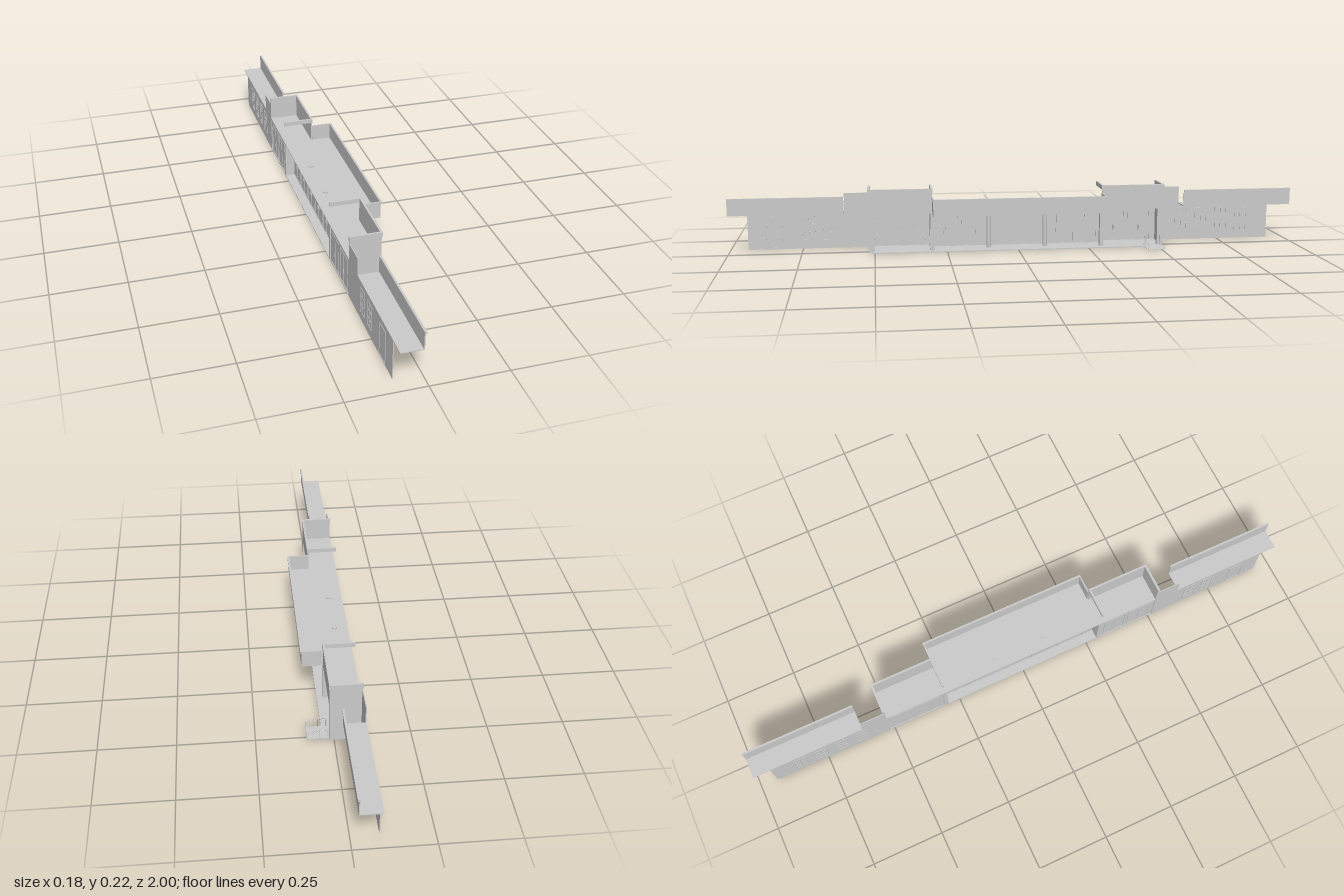
import * as THREE from 'three';

const mat = new THREE.MeshStandardMaterial({ color: 0xcccccc, flatShading: true });

// Box given by its min and max on each axis
function block(parent, name, x0, x1, y0, y1, z0, z1) {
  const mesh = new THREE.Mesh(new THREE.BoxGeometry(x1 - x0, y1 - y0, Math.abs(z1 - z0)), mat);
  mesh.position.set((x0 + x1) / 2, (y0 + y1) / 2, (z0 + z1) / 2);
  mesh.name = name;
  parent.add(mesh);
  return mesh;
}

function rod(parent, name, a, b, r, sides = 6) {
  const curve = new THREE.LineCurve3(new THREE.Vector3(...a), new THREE.Vector3(...b));
  const mesh = new THREE.Mesh(new THREE.TubeGeometry(curve, 1, r, sides), mat);
  mesh.name = name;
  parent.add(mesh);
}

// Upright frame in the plane of a wall, with mullions dividing the opening
function frame(parent, name, x, z, width, y0, y1, cols, rows) {
  const g = new THREE.Group();
  g.name = name;
  const t = 0.003, d = 0.003;
  for (let i = 0; i <= cols; i++) {
    const c = z - width / 2 + (width * i) / cols;
    block(g, 'upright', x - d, x + d, y0, y1, c - t / 2, c + t / 2);
  }
  for (let i = 0; i <= rows; i++) {
    const y = y0 + ((y1 - y0) * i) / rows;
    block(g, 'rail', x - d, x + d, y - t / 2, y + t / 2, z - width / 2, z + width / 2);
  }
  parent.add(g);
}

export function createModel() {
  const model = new THREE.Group();
  model.name = 'stationFacade';
  const back = -0.09, T = 0.003;

  // Floor and flat roof over the central hall
  block(model, 'platformFloor', back, 0.036, 0, 0.003, -0.515, 0.515);
  block(model, 'hallRoof', back, 0.085, 0.133, 0.136, -0.3, 0.3);

  // Hall fascia with a projecting cap
  block(model, 'hallFascia', 0.082, 0.085, 0.133, 0.19, -0.3, 0.3);
  block(model, 'hallFasciaCap', 0.082, 0.089, 0.186, 0.193, -0.302, 0.302);

  // Recessed hall wall with doors
  const hallX = -0.055;
  block(model, 'hallWall', hallX - T / 2, hallX + T / 2, 0.003, 0.133, -0.3, 0.3);
  for (let i = 0; i < 6; i++) {
    const z = -0.25 + i * 0.1;
    frame(model, 'hallDoor', hallX, z, 0.086, 0.004, 0.118, 2, 1);
    for (const s of [-1, 1])
      block(model, 'doorHandle', hallX - 0.005, hallX + 0.005, 0.045, 0.058, z + s * 0.006 - 0.001, z + s * 0.006 + 0.001);
  }

  for (const s of [-1, 1]) {
    // Round columns and roof vents
    const column = new THREE.Mesh(new THREE.CylinderGeometry(0.008, 0.008, 0.13, 16), mat);
    column.position.set(-0.016, 0.068, s * 0.1);
    column.name = 'column';
    model.add(column);
    const vent = new THREE.Mesh(new THREE.CylinderGeometry(0.009, 0.009, 0.005, 16), mat);
    vent.position.set(-0.045, 0.138, s * 0.095);
    vent.name = 'roofVent';
    model.add(vent);
    block(model, 'hallFasciaReturn', 0.015, 0.085, 0.133, 0.19, s * 0.297, s * 0.3);
    block(model, 'hallReturnCap', 0.015, 0.089, 0.186, 0.193, s * 0.297, s * 0.302);

    // Tower: side wall, front parapet and cornice, open at the back
    const tower = new THREE.Group();
    tower.name = 'tower';
    model.add(tower);
    block(tower, 'sideWall', back, 0.015, 0, 0.21, s * 0.516, s * 0.52);
    block(tower, 'frontParapet', 0.011, 0.015, 0.133, 0.21, s * 0.3, s * 0.52);
    block(tower, 'towerRoof', back, 0.015, 0.133, 0.136, s * 0.3, s * 0.52);
    block(tower, 'frontCornice', 0.01, 0.017, 0.205, 0.22, s * 0.298, s * 0.523);
    block(tower, 'sideCornice', back - 0.001, 0.017, 0.205, 0.22, s * 0.515, s * 0.523);
    block(tower, 'innerCornice', back - 0.001, 0.017, 0.205, 0.22, s * 0.298, s * 0.305);
    block(tower, 'outerPier', -0.002, 0.015, 0, 0.133, s * 0.5, s * 0.516);
    block(tower, 'innerPier', -0.002, 0.015, 0, 0.133, s * 0.292, s * 0.307);
    block(tower, 'backPier', back, hallX, 0, 0.133, s * 0.292, s * 0.307);
    block(tower, 'entranceWall', back + 0.003, back + 0.006, 0.003, 0.133, s * 0.305, s * 0.516);
    for (const z of [0.36, 0.455]) {
      frame(tower, 'entranceDoor', back + 0.0045, s * z, 0.08, 0.004, 0.118, 2, 1);
      block(tower, 'doorHandle', back, back + 0.01, 0.045, 0.058, s * z - 0.004, s * z - 0.002);
    }

    // Wing: thin wall, canopy slab, fascia with cap
    const wing = new THREE.Group();
    wing.name = 'wing';
    model.add(wing);
    block(wing, 'wingWall', back, back + T, 0, 0.134, s * 0.6, s * 0.94);
    block(wing, 'tallWall', back, back + T, 0, 0.195, s * 0.52, s * 0.605);
    block(wing, 'canopySlab', back, -0.018, 0.133, 0.136, s * 0.605, s);
    block(wing, 'canopyFascia', -0.021, -0.018, 0.133, 0.19, s * 0.605, s);
    block(wing, 'canopyCap', -0.021, -0.014, 0.186, 0.193, s * 0.605, s);
  }

  // Wing windows and a service door
  for (const z of [-0.84, -0.765, -0.69, -0.615, 0.66, 0.73])
    frame(model, 'window', back + T / 2, z, 0.042, 0.03, 0.115, 2, 3);
  frame(model, 'serviceDoor', back + T / 2, 0.85, 0.055, 0.004, 0.115, 1, 1);

  // Access ramp with a sloping handrail on each side
  const ramp = new THREE.Group();
  ramp.name = 'accessRamp';
  model.add(ramp);
  const profile = new THREE.Shape([[0.015, 0], [0.085, 0], [0.085, 0.0005], [0.045, 0.003], [0.015, 0.003]]
    .map(([x, y]) => new THREE.Vector2(x, y)));
  const deck = new THREE.Mesh(new THREE.ExtrudeGeometry(profile, { depth: 0.062, bevelEnabled: false }), mat);
  deck.position.z = -0.512;
  deck.name = 'rampDeck';
  ramp.add(deck);
  for (const z of [-0.509, -0.453]) {
    const tops = [[0.019, 0.031], [0.024, 0.037], [0.045, 0.037], [0.088, 0.024], [0.086, 0.019]];
    for (let i = 0; i < tops.length - 1; i++)
      rod(ramp, 'handrail', [...tops[i], z], [...tops[i + 1], z], 0.0012);
    for (const [x, y] of [[0.019, 0.031], [0.045, 0.037], [0.086, 0.024]])
      rod(ramp, 'railPost', [x, 0, z], [x, y, z], 0.0012);
    rod(ramp, 'midRail', [0.019, 0.031, z], [0.045, 0.031, z], 0.0008);
    rod(ramp, 'midRail', [0.045, 0.031, z], [0.086, 0.019, z], 0.0008);
  }

  return model;
}
